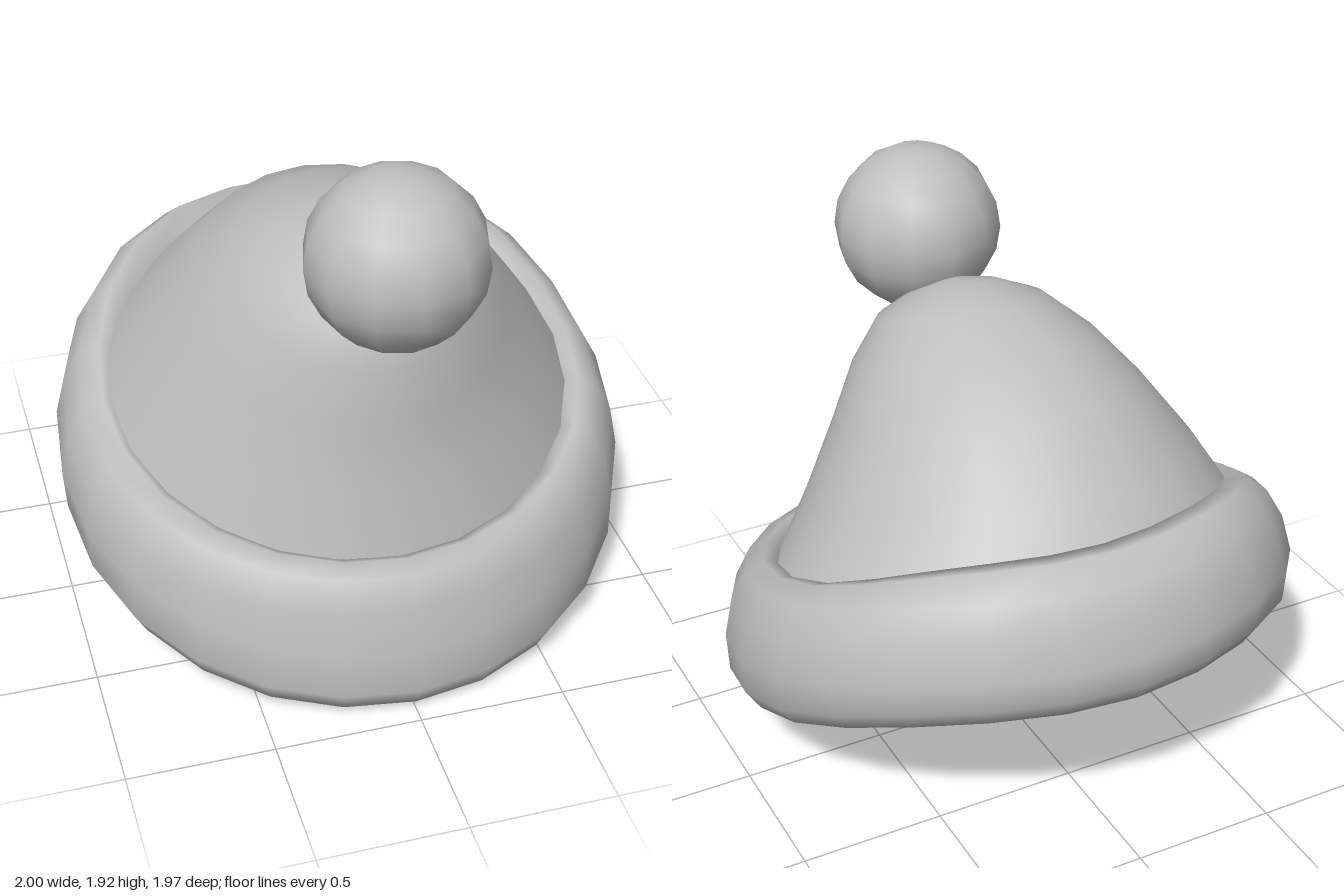
import * as THREE from 'three';

// Skin a series of closed loops: point(i, j) for i around and j along the loops
function skin(around, along, closeAlong, point) {
  const pos = [], idx = [];
  for (let j = 0; j < along; j++)
    for (let i = 0; i < around; i++) pos.push(...point(i, j));
  const rows = closeAlong ? along : along - 1;
  for (let j = 0; j < rows; j++)
    for (let i = 0; i < around; i++) {
      const i2 = (i + 1) % around, j2 = (j + 1) % along;
      const a = j * around + i, b = j * around + i2;
      const c = j2 * around + i2, d = j2 * around + i;
      idx.push(a, b, c, a, c, d);
    }
  const g = new THREE.BufferGeometry();
  g.setAttribute('position', new THREE.Float32BufferAttribute(pos, 3));
  g.setIndex(idx);
  g.computeVertexNormals();
  return g;
}

export function createModel() {
  const hat = new THREE.Group();
  hat.name = 'bobbleHat';
  const wool = new THREE.MeshStandardMaterial({ color: 0xbfbfbf, side: THREE.DoubleSide });
  wool.name = 'greyWool';
  const add = (name, geometry) => {
    const mesh = new THREE.Mesh(geometry, wool);
    mesh.name = name;
    hat.add(mesh);
    return mesh;
  };

  // Rolled brim: [radius, height] sections at front, side and back, blended around
  const front = [[.89, 0], [.94, .03], [.97, .1], [.95, .25], [.92, .41], [.88, .52], [.82, .55], [.75, .51], [.72, .36], [.78, .09]];
  const side = [[.85, .23], [.94, .28], [.99, .36], [1, .5], [.97, .64], [.91, .75], [.84, .79], [.775, .77], [.7, .58], [.75, .33]];
  const back = [[.86, .61], [.94, .63], [.98, .7], [.98, .8], [.93, .94], [.88, 1.03], [.79, 1.105], [.7, 1.08], [.66, .9], [.74, .67]];
  const brimSides = 24;
  add('brim', skin(brimSides, front.length, true, (i, j) => {
    const t = i / brimSides * Math.PI * 2, c = Math.cos(t);
    const mix = k => front[j][k] * (c * c + c) / 2 + side[j][k] * (1 - c * c) + back[j][k] * (c * c - c) / 2;
    const swell = c < 0 ? c * c * (1 - c * c) : 0;
    const r = mix(0) + 0.06 * swell;
    return [r * Math.sin(t), mix(1) + 0.2 * swell, r * c];
  }));

  // Crown: leaning rings given by front z, front y, back z, back y, half width, x offset
  const rings = [
    [.78, .46, -.77, 1.0, .83, -.01],
    [.72, .76, -.60, 1.18, .685, -.02],
    [.70, 1.0, -.39, 1.37, .54, -.02],
    [.69, 1.2, -.16, 1.48, .42, -.02],
    [.65, 1.36, .08, 1.55, .285, -.02],
    [.57, 1.44, .25, 1.57, .15, -.015],
    [.43, 1.53, .42, 1.53, .005, -.015],
  ];
  const crownSides = 24;
  add('crown', skin(crownSides, rings.length, false, (i, j) => {
    const t = i / crownSides * Math.PI * 2, w = (1 + Math.cos(t)) / 2;
    const [fz, fy, bz, by, hw, dx] = rings[j];
    return [hw * Math.sin(t) + dx, by + (fy - by) * w, bz + (fz - bz) * w];
  }));

  // Pompom at the drooping tip
  add('pompom', new THREE.SphereGeometry(0.295, 12, 10)).position.set(-0.015, 1.622, 0.69);

  return hat;
}
